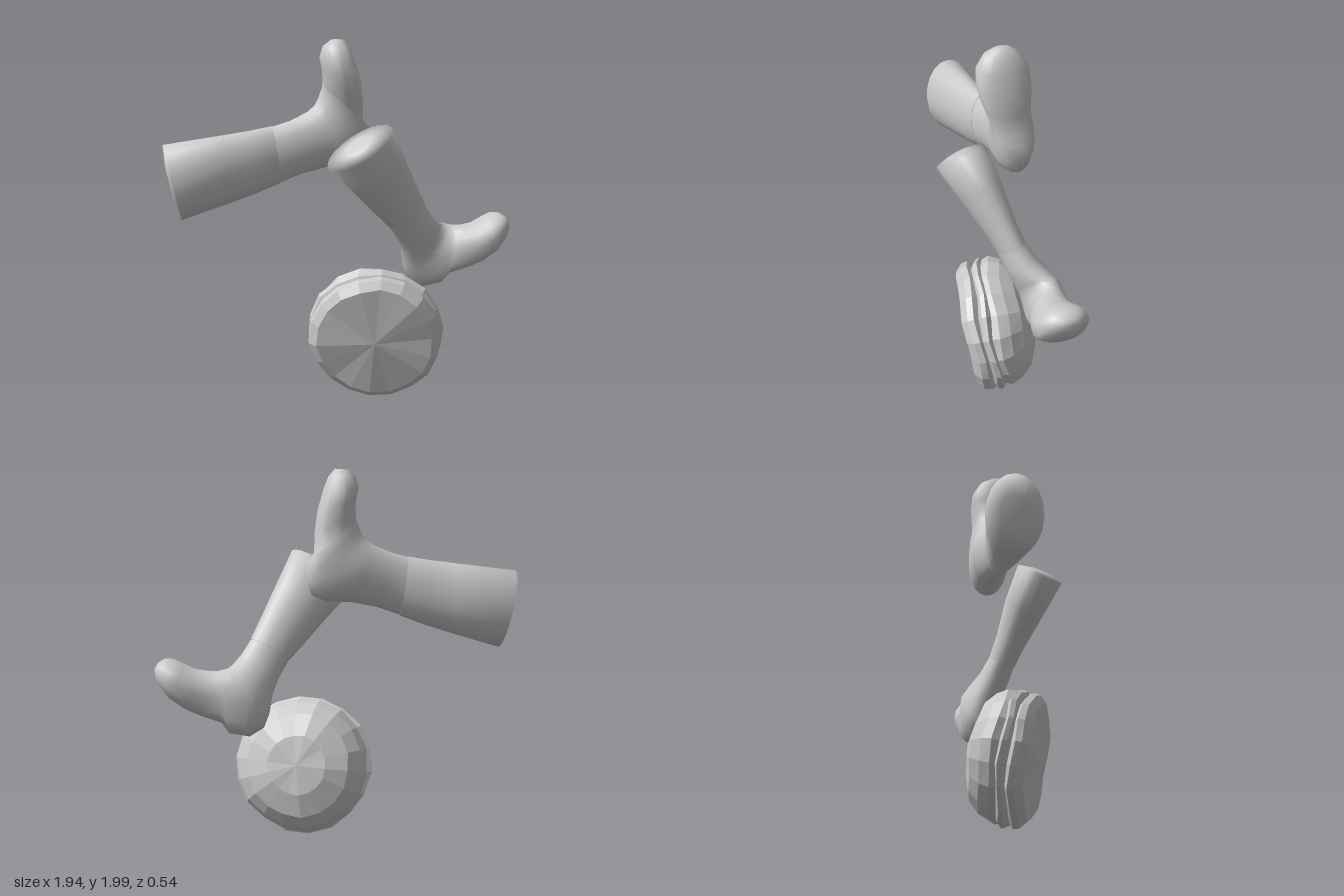
import * as THREE from 'three';

const grey = new THREE.MeshStandardMaterial({ color: 0xcccccc });
const faceted = new THREE.MeshStandardMaterial({ color: 0xcccccc, flatShading: true });
const SIDES = 20;

// One cross-section from a row:
// [front x, front y, back x, back y, z centre, half width, sideways tilt, sole flatness]
function ring([ax, ay, bx, by, z, hw, tilt = 0, flat = 0], scale = 1) {
  const u = new THREE.Vector3((ax - bx) / 2, (ay - by) / 2, 0);
  const down = u.clone().cross(new THREE.Vector3(0, 0, 1)).normalize();
  const w = new THREE.Vector3(down.x * tilt, down.y * tilt, 1).normalize();
  const out = [];
  for (let j = 0; j < SIDES; j++) {
    const a = (j / SIDES) * Math.PI * 2;
    let c = Math.cos(a);
    if (c < 0) c = -Math.pow(-c, 1 - 0.5 * flat);
    out.push(new THREE.Vector3((ax + bx) / 2, (ay + by) / 2, z)
      .addScaledVector(u, c * scale).addScaledVector(w, Math.sin(a) * hw * scale));
  }
  return out;
}

// Skin a list of rings into one closed surface
function skin(rings) {
  const index = [];
  for (let i = 0; i < rings.length - 1; i++) {
    for (let j = 0; j < SIDES; j++) {
      const k = (j + 1) % SIDES, a = i * SIDES, b = a + SIDES;
      index.push(a + j, a + k, b + j, a + k, b + k, b + j);
    }
  }
  const g = new THREE.BufferGeometry().setFromPoints(rings.flat());
  g.setIndex(index);
  g.computeVertexNormals();
  return g;
}

// Boot: the shaft ends at the ankle seam (row 4), the foot carries on from there
function boot(name, rows) {
  const group = new THREE.Group();
  group.name = name;
  const ankle = rows[4], toe = rows[rows.length - 1];
  const shaft = new THREE.Mesh(skin([
    ring(rows[0], 0), ...rows.slice(0, 5).map((r) => ring(r)), ring(ankle), ring(ankle, 0),
  ]), grey);
  shaft.name = 'shaft';
  const foot = new THREE.Mesh(skin([
    ring(ankle, 0.98), ...rows.slice(5).map((r) => ring(r)), ring(toe, 0),
  ]), grey);
  foot.name = 'foot';
  group.add(shaft, foot);
  return group;
}

// Uneven turned layer of the round bun
function layer(name, profile, lump, phase) {
  const g = new THREE.LatheGeometry(profile.map(([r, y]) => new THREE.Vector2(r, y)), 18);
  const p = g.attributes.position;
  for (let i = 0; i < p.count; i++) {
    const x = p.getX(i), y = p.getY(i), z = p.getZ(i);
    const r = Math.hypot(x, z);
    if (r < 0.01) continue;
    const a = Math.atan2(z, x);
    const k = 1 + lump * (Math.sin(3 * a + phase) + 0.7 * Math.sin(7 * a + 2 * phase + 9 * y));
    p.setXYZ(i, x * k, y + lump * 2 * r * Math.sin(5 * a + phase), z * k);
  }
  g.computeVertexNormals();
  const mesh = new THREE.Mesh(g, faceted);
  mesh.name = name;
  return mesh;
}

export function createModel() {
  const model = new THREE.Group();

  // Rows run from the gently domed shaft end round the heel to the toe
  model.add(boot('upperBoot', [
    [-0.962, 1.34, -0.922, 1.16, -0.12, 0.07],
    [-0.97, 1.455, -0.88, 1.04, -0.12, 0.147],
    [-0.65, 1.495, -0.62, 1.12, -0.125, 0.11],
    [-0.5, 1.515, -0.48, 1.165, -0.13, 0.092],
    [-0.38, 1.535, -0.335, 1.22, -0.137, 0.078],
    [-0.28, 1.56, -0.22, 1.265, -0.14, 0.08],
    [-0.18, 1.605, -0.08, 1.295, -0.155, 0.1],
    [-0.14, 1.64, 0.06, 1.3, -0.157, 0.107, 0, 0.2],
    [-0.12, 1.68, 0.135, 1.335, -0.155, 0.108, 0, 0.5],
    [-0.11, 1.71, 0.165, 1.41, -0.152, 0.112, 0, 0.8],
    [-0.1, 1.735, 0.163, 1.51, -0.145, 0.114, 0, 0.8],
    [-0.1, 1.75, 0.122, 1.55, -0.138, 0.114, 0, 0.8],
    [-0.1, 1.79, 0.118, 1.66, -0.122, 0.13, 0, 0.8],
    [-0.105, 1.84, 0.1, 1.78, -0.115, 0.146, 0, 0.8],
    [-0.117, 1.9, 0.07, 1.89, -0.115, 0.138, 0, 0.6],
    [-0.1, 1.96, 0.045, 1.955, -0.115, 0.1, 0, 0.4],
    [-0.06, 1.993, 0.01, 1.998, -0.115, 0.045],
  ]));

  model.add(boot('lowerBoot', [
    [0.1, 1.5, -0.03, 1.415, 0.15, 0.06, 0.35],
    [0.22, 1.555, -0.12, 1.34, 0.14, 0.133, 0.35],
    [0.31, 1.38, 0.03, 1.195, 0.065, 0.115, 0.35],
    [0.4, 1.2, 0.17, 1.05, 0, 0.085, 0.35],
    [0.46, 1.085, 0.25, 0.97, -0.04, 0.077, 0.35],
    [0.51, 1.01, 0.31, 0.88, -0.08, 0.085, 0.25],
    [0.555, 0.965, 0.345, 0.8, -0.12, 0.1, 0.15],
    [0.58, 0.95, 0.365, 0.7, -0.155, 0.105],
    [0.6, 0.945, 0.395, 0.625, -0.165, 0.1, 0, 0.5],
    [0.62, 0.94, 0.47, 0.58, -0.165, 0.1, 0, 0.8],
    [0.64, 0.935, 0.58, 0.6, -0.163, 0.1, 0, 0.8],
    [0.66, 0.935, 0.618, 0.655, -0.152, 0.104, 0, 0.8],
    [0.7, 0.935, 0.72, 0.69, -0.135, 0.117, 0, 0.8],
    [0.76, 0.945, 0.81, 0.73, -0.13, 0.133, 0, 0.8],
    [0.82, 0.975, 0.895, 0.79, -0.13, 0.14, 0, 0.7],
    [0.87, 0.998, 0.945, 0.855, -0.13, 0.125, 0, 0.4],
    [0.915, 1.0, 0.97, 0.905, -0.125, 0.085],
    [0.95, 0.98, 0.972, 0.945, -0.125, 0.04],
  ]));

  // Filled bun, tipped so its flat face looks forward, down and to one side
  const bun = new THREE.Group();
  bun.name = 'filledBun';
  bun.add(
    layer('domedHalf', [[0, -0.235], [0.16, -0.225], [0.28, -0.18], [0.34, -0.115], [0.367, -0.055], [0.35, -0.01], [0, 0]], 0.012, 1),
    layer('filling', [[0, -0.04], [0.34, -0.03], [0.378, -0.005], [0.368, 0.02], [0.325, 0.045], [0, 0.045]], 0.013, 2.5),
    layer('flatHalf', [[0, 0.02], [0.335, 0.03], [0.368, 0.055], [0.362, 0.09], [0.32, 0.128], [0, 0.15]], 0.012, 4),
  );
  bun.position.set(0.17, 0.382, 0.008);
  bun.quaternion.setFromUnitVectors(
    new THREE.Vector3(0, 1, 0), new THREE.Vector3(-0.26, -0.2, 1).normalize());
  model.add(bun);

  return model;
}
